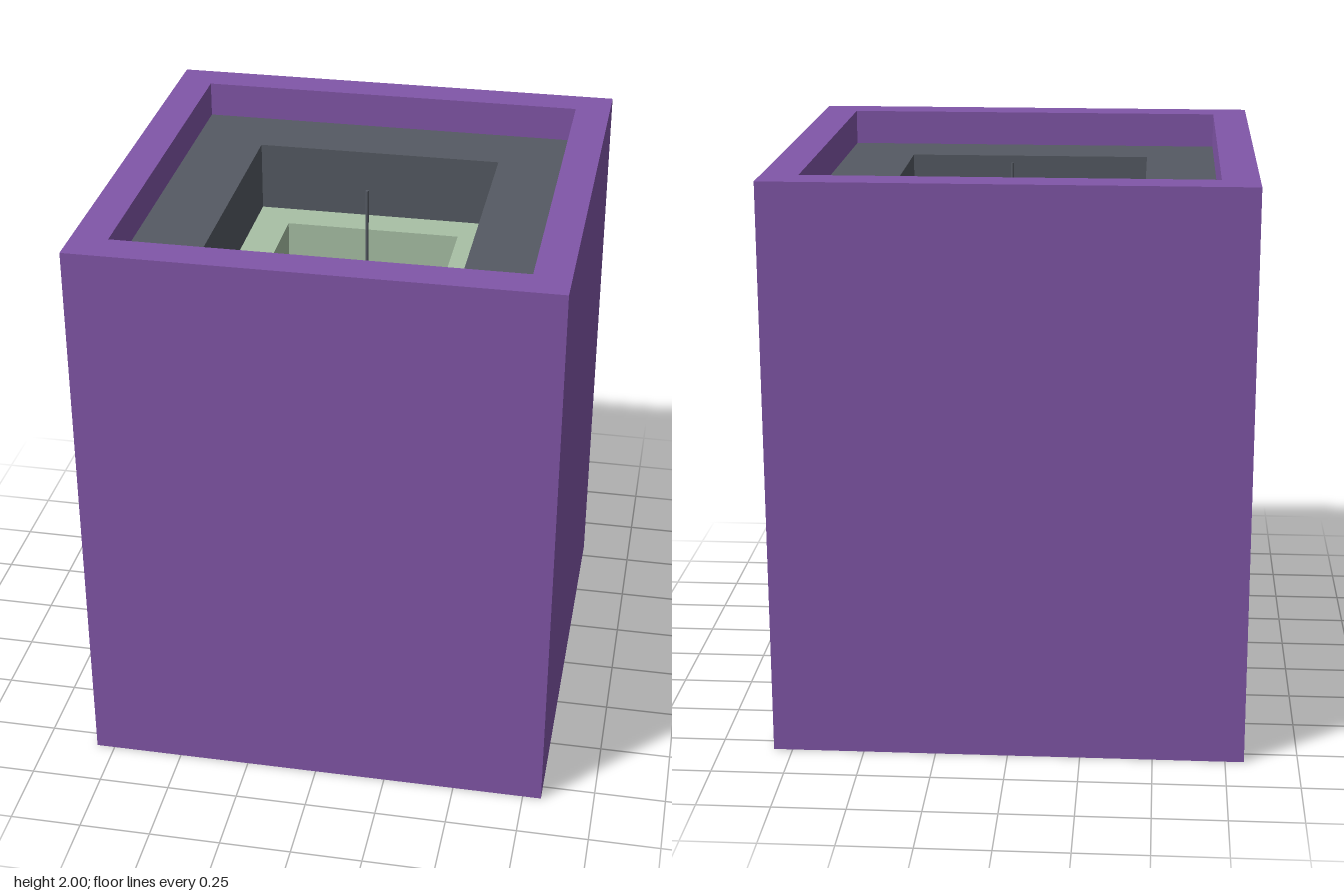
import * as THREE from 'three';
import { toCreasedNormals } from 'three/addons/utils/BufferGeometryUtils.js';

const material = (color) => new THREE.MeshStandardMaterial({ color });

// Closed surface turned from [radius, height] points
function turned(name, points, color, segments = 48, phiStart = 0) {
  const profile = points.map(([r, y]) => new THREE.Vector2(r, y));
  const lathe = new THREE.LatheGeometry(profile, segments, phiStart);
  const mesh = new THREE.Mesh(toCreasedNormals(lathe, 0.5), material(color));
  mesh.name = name;
  return mesh;
}

// Open-topped square box: a four-sided turned shell with a floor
function openBox(name, outer, inner, bottom, floor, top, color) {
  const o = outer * Math.SQRT2;
  const i = inner * Math.SQRT2;
  const points = [[0, bottom], [o, bottom], [o, top], [i, top], [i, floor], [0, floor]];
  return turned(name, points, color, 4, Math.PI / 4);
}

export function createModel() {
  const model = new THREE.Group();
  model.name = 'nestedShieldBox';

  // Three boxes, each sitting inside the next
  model.add(
    openBox('outerBox', 0.815, 0.69, 0, 0.125, 2, 0x8156a8),
    openBox('middleBox', 0.69, 0.44, 0.125, 0.375, 1.875, 0x555a63),
    openBox('innerLiner', 0.44, 0.315, 0.375, 0.5, 1.625, 0xa8c0a5),
  );

  // Flat-shouldered vessel with a short collar around its bore
  const vessel = new THREE.Group();
  vessel.name = 'vessel';
  vessel.add(
    turned('vesselBody', [
      [0, 0.5], [0.26, 0.5], [0.26, 1.2], [0.075, 1.2], [0.075, 1.26],
      [0.05, 1.26], [0.05, 0.8], [0, 0.8],
    ], 0xbfcbd9),
    turned('boreSleeve', [
      [0, 0.8], [0.05, 0.8], [0.05, 1.28], [0.04, 1.28], [0.04, 0.82], [0, 0.82],
    ], 0x8d949c),
    turned('core', [[0, 0.82], [0.04, 0.82], [0.04, 1.24], [0, 1.24]], 0x5590d5),
  );
  model.add(vessel);

  // Thin needle rising from the edge of the bore
  const needle = new THREE.Mesh(new THREE.CylinderGeometry(0.006, 0.006, 1.08, 12), material(0x555a63));
  needle.name = 'needle';
  needle.position.set(0.036, 1.385, 0);
  model.add(needle);

  return model;
}
